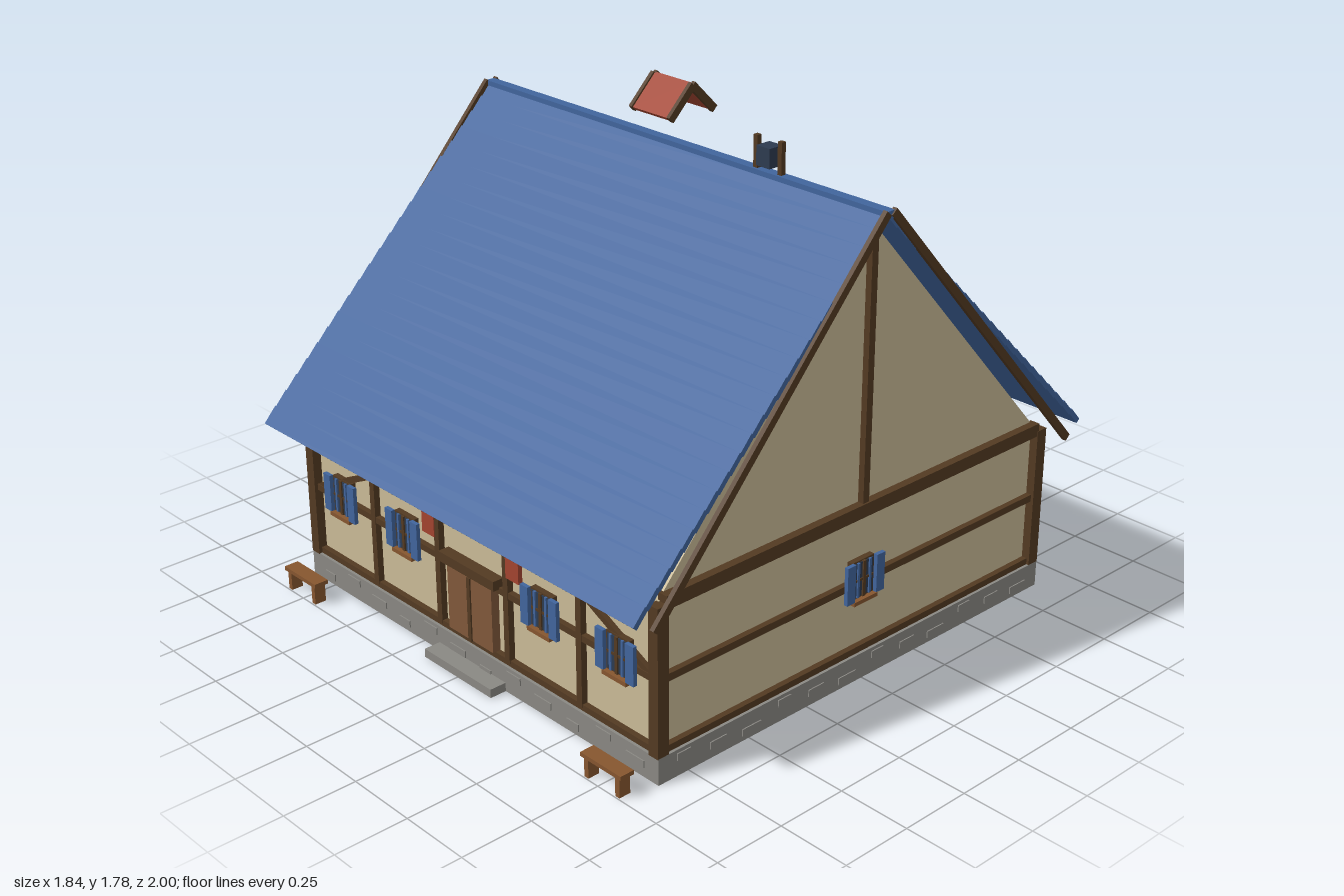
import * as THREE from 'three';

const mat = (name, color) => Object.assign(new THREE.MeshStandardMaterial({ color }), { name });

export function createModel() {
  const blue = mat('blue paint', 0x41659d);
  const plaster = mat('cream plaster', 0xcabb97);
  const timber = mat('dark timber', 0x533a22);
  const stone = mat('grey stone', 0x8a8883);
  const doorWood = mat('door wood', 0x80583a);
  const benchWood = mat('bench wood', 0x86562f);
  const red = mat('red paint', 0xa34430);
  const glass = mat('dark glass', 0x2d3b50);
  const plasterSheet = plaster.clone();
  plasterSheet.name = plaster.name;
  plasterSheet.side = THREE.DoubleSide;

  const model = new THREE.Group();
  model.name = 'halfTimberedHouse';

  const group = (parent, name, x = 0, y = 0, z = 0, ry = 0) => {
    const g = new THREE.Group();
    g.name = name;
    g.position.set(x, y, z);
    g.rotation.y = ry;
    parent.add(g);
    return g;
  };
  // Box from centre and size
  const box = (parent, name, m, [x, y, z], [w, h, d]) => {
    const b = new THREE.Mesh(new THREE.BoxGeometry(w, h, d), m);
    b.name = name;
    b.position.set(x, y, z);
    parent.add(b);
    return b;
  };

  // Base and walls
  box(model, 'stoneBase', stone, [0, 0.045, 0], [1.74, 0.09, 1.74]);
  box(model, 'walls', plaster, [0, 0.34, 0], [1.68, 0.5, 1.68]);
  box(model, 'doorStep', stone, [0, 0.015, 0.9], [0.335, 0.03, 0.06]);

  // Window with sill, glazing bars and open shutters, facing +z
  const addWindow = (parent, x) => {
    const w = group(parent, 'window', x, 0.355, 0.842);
    box(w, 'frame', timber, [0, 0, 0.008], [0.1, 0.13, 0.02]);
    box(w, 'pane', glass, [0, 0, 0.018], [0.086, 0.118, 0.006]);
    box(w, 'mullion', timber, [0, 0, 0.02], [0.012, 0.124, 0.012]);
    box(w, 'crossBar', timber, [0, 0, 0.019], [0.086, 0.008, 0.01]);
    box(w, 'sill', benchWood, [0, -0.072, 0.018], [0.105, 0.014, 0.034]);
    for (const s of [-1, 1]) {
      box(w, 'shutter', blue, [s * 0.066, 0, 0.026], [0.036, 0.132, 0.014]);
      box(w, 'shutterEdge', blue, [s * 0.026, 0, 0.022], [0.009, 0.12, 0.008]);
    }
  };

  // Long facades, front and back
  const longFacade = (name, ry, windows) => {
    const f = group(model, name, 0, 0, 0, ry);
    for (const y of [0.1, 0.34, 0.572])
      box(f, 'rail', timber, [0, y, 0.847], [1.68, 0.022, 0.026]);
    for (const x of [-0.512, -0.17, 0.17, 0.512])
      box(f, 'post', timber, [x, 0.34, 0.849], [0.024, 0.48, 0.026]);
    for (const s of [-1, 1]) {
      const b = box(f, 'brace', timber, [s * 0.6, 0.452, 0.846], [0.49, 0.02, 0.022]);
      b.rotation.z = -s * Math.atan2(0.213, 0.44);
    }
    windows.forEach(x => addWindow(f, x));
    return f;
  };
  const front = longFacade('frontFacade', 0, [-0.685, -0.342, 0.342, 0.685]);
  longFacade('backFacade', Math.PI, [-0.685, -0.342, 0, 0.342, 0.685]);

  // Double door and red panels
  for (const s of [-1, 1]) {
    box(front, 'doorLeaf', doorWood, [s * 0.056, 0.222, 0.855], [0.108, 0.222, 0.03]);
    box(front, 'redPanel', red, [s * 0.209, 0.482, 0.857], [0.062, 0.155, 0.016]);
  }
  box(front, 'doorBar', timber, [0, 0.222, 0.864], [0.016, 0.225, 0.022]);
  box(front, 'doorLintel', timber, [0, 0.362, 0.86], [0.275, 0.034, 0.044]);

  // Gable sides
  const triangle = new THREE.Shape([[-0.835, 0.6], [0.835, 0.6], [0, 1.525]].map(p => new THREE.Vector2(...p)));
  for (const s of [-1, 1]) {
    const f = group(model, s > 0 ? 'leftGable' : 'rightGable', 0, 0, 0, s * Math.PI / 2);
    for (const y of [0.1, 0.34])
      box(f, 'rail', timber, [0, y, 0.847], [1.67, 0.025, 0.026]);
    box(f, 'tieBeam', timber, [0, 0.592, 0.85], [1.67, 0.045, 0.036]);
    box(f, 'kingPost', timber, [0, 1.06, 0.848], [0.026, 0.9, 0.028]);
    const g = new THREE.Mesh(new THREE.ExtrudeGeometry(triangle, { depth: 0.02, bevelEnabled: false }), plasterSheet);
    g.name = 'gableWall';
    g.position.z = 0.82;
    f.add(g);
    addWindow(f, 0);
  }
  for (const x of [-0.85, 0.85])
    for (const z of [-0.85, 0.85])
      box(model, 'cornerPost', timber, [x, 0.338, z], [0.04, 0.5, 0.044]);

  // Slightly raised stones around the base
  for (let side = 0; side < 4; side++) {
    const f = group(model, 'baseStones', 0, 0, 0, side * Math.PI / 2);
    for (let i = 0; i < 12; i++)
      box(f, 'stone', stone, [-0.77 + i * 0.14, [0.03, 0.066, 0.045][(i + side) % 3], 0.87],
        [0.055 + 0.012 * (i % 3), 0.024, 0.008]);
  }

  // Roof slopes made of overlapping rows, with barge boards
  const tilt = 0.838;
  for (const ry of [0, Math.PI]) {
    const slope = group(model, ry ? 'backRoof' : 'frontRoof', 0, 0, 0, ry);
    for (let i = 0; i < 22; i++) {
      const z = 0.02 + i * 0.0452;
      box(slope, 'roofRow', blue, [0, 1.558 - 0.975 * z, z], [1.815, 0.018, 0.068]).rotation.x = tilt;
    }
    for (const x of [-0.912, 0.912])
      box(slope, 'bargeBoard', timber, [x, 1.06, 0.468], [0.016, 0.026, 1.365]).rotation.x = tilt;
  }
  box(model, 'ridgeCap', blue, [0, 1.558, 0], [1.83, 0.026, 0.036]);

  // Small red cap floating above the ridge
  const cap = group(model, 'chimneyCap', 0, 1.765, 0);
  for (const ry of [0, Math.PI]) {
    const half = group(cap, 'capSlope', 0, 0, 0, ry);
    box(half, 'capPanel', red, [0, -0.046, 0.045], [0.165, 0.016, 0.132]).rotation.x = Math.PI / 4;
    for (const x of [-0.086, 0.086])
      box(half, 'capTrim', timber, [x, -0.046, 0.046], [0.014, 0.026, 0.134]).rotation.x = Math.PI / 4;
  }

  // Little ridge bell between two posts
  const bell = group(model, 'ridgeBell', 0.424, 1.62, 0);
  box(bell, 'bellBlock', glass, [0, 0, 0], [0.056, 0.064, 0.056]);
  for (const x of [-0.051, 0.051])
    box(bell, 'bellPost', timber, [x, 0, 0], [0.017, 0.11, 0.017]);

  // Benches
  for (const x of [-0.762, 0.762]) {
    const b = group(model, 'bench', x, 0, 0.974);
    box(b, 'benchSeat', benchWood, [0, 0.074, 0], [0.176, 0.014, 0.052]);
    for (const s of [-1, 1])
      box(b, 'benchLeg', benchWood, [s * 0.068, 0.034, 0], [0.018, 0.068, 0.042]);
  }

  return model;
}
